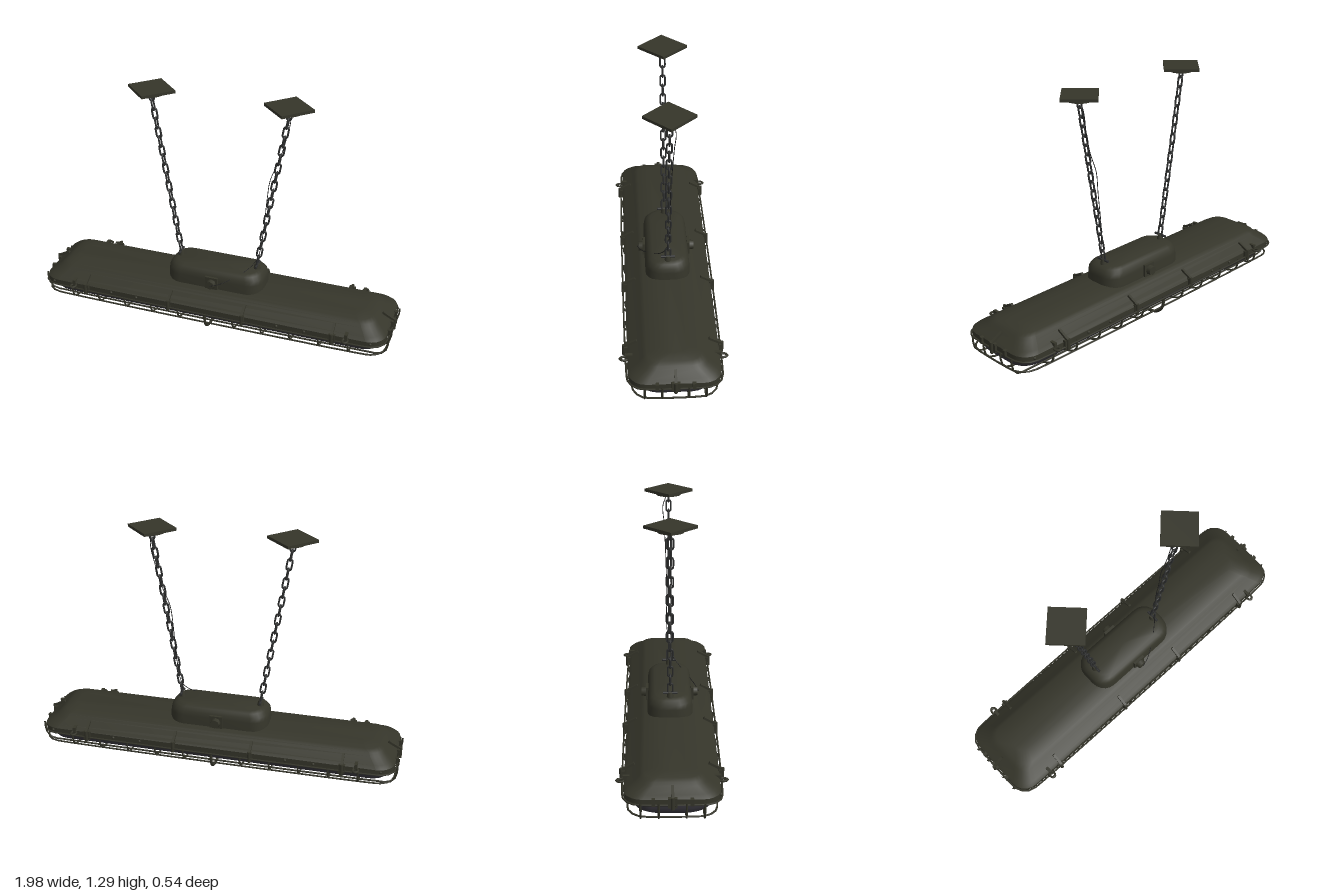
import * as THREE from 'three';
import { toCreasedNormals } from 'three/addons/utils/BufferGeometryUtils.js';

const V = (x, y, z) => new THREE.Vector3(x, y, z);

function material(name, color) {
  const m = new THREE.MeshStandardMaterial({ color });
  m.name = name;
  return m;
}

// Outline of a rounded rectangle as [x, z] points
function outline(hx, hz, r, seg = 5) {
  const pts = [];
  [[1, 1], [-1, 1], [-1, -1], [1, -1]].forEach(([sx, sz], q) => {
    for (let i = 0; i <= seg; i++) {
      const a = (q + i / seg) * Math.PI / 2;
      pts.push([sx * (hx - r) + r * Math.cos(a), sz * (hz - r) + r * Math.sin(a)]);
    }
  });
  return pts;
}

// Shell through stacked rounded rectangles [halfX, halfZ, radius, y], bottom to top, capped
function loft(rings, crease = 0.5) {
  const pos = [], idx = [];
  const n = outline(1, 1, 0.1).length;
  rings.forEach(([hx, hz, r, y]) => outline(hx, hz, r).forEach(([x, z]) => pos.push(x, y, z)));
  for (let i = 0; i < rings.length - 1; i++) {
    for (let j = 0; j < n; j++) {
      const a = i * n + j, b = i * n + (j + 1) % n;
      idx.push(a, a + n, b, b, a + n, b + n);
    }
  }
  const last = rings.length - 1, c = pos.length / 3;
  pos.push(0, rings[0][3], 0, 0, rings[last][3], 0);
  for (let j = 0; j < n; j++) {
    const k = (j + 1) % n;
    idx.push(c, j, k, c + 1, last * n + k, last * n + j);
  }
  const g = new THREE.BufferGeometry();
  g.setAttribute('position', new THREE.Float32BufferAttribute(pos, 3));
  g.setIndex(idx);
  return toCreasedNormals(g, crease);
}

function wire(points, radius, closed = false, steps = 40) {
  const curve = new THREE.CatmullRomCurve3(points, closed, 'centripetal');
  return new THREE.TubeGeometry(curve, steps, radius, 6, closed);
}

export function createModel() {
  const root = new THREE.Group();
  root.name = 'hangingLamp';
  const paint = material('olivePaint', 0x35352a);
  const steel = material('chainSteel', 0x2f3030);
  const glass = material('smokedGlass', 0x3a383f);
  const rubber = material('blackCable', 0x1c1c1c);

  const add = (name, geo, mat, x = 0, y = 0, z = 0, parent = root) => {
    const m = new THREE.Mesh(geo, mat);
    m.name = name;
    m.position.set(x, y, z);
    parent.add(m);
    return m;
  };
  const box = (name, w, h, d, x, y, z, parent) =>
    add(name, new THREE.BoxGeometry(w, h, d), paint, x, y, z, parent);

  // Housing, glass cover and junction box
  add('housing', loft([
    [0.95, 0.215, 0.085, 0.118], [0.967, 0.23, 0.09, 0.124], [0.967, 0.23, 0.09, 0.152],
    [0.95, 0.213, 0.085, 0.168], [0.912, 0.168, 0.075, 0.191], [0.9, 0.155, 0.07, 0.205],
    [0.875, 0.135, 0.065, 0.216], [0.83, 0.065, 0.05, 0.229]]), paint);
  add('glassCover', loft([
    [0.87, 0.09, 0.07, 0.036], [0.91, 0.145, 0.09, 0.046], [0.935, 0.18, 0.1, 0.066],
    [0.945, 0.2, 0.1, 0.092], [0.945, 0.205, 0.09, 0.122]], 0.9), glass);
  add('junctionBox', loft([
    [0.272, 0.12, 0.085, 0.19], [0.27, 0.117, 0.085, 0.27], [0.266, 0.112, 0.082, 0.295],
    [0.25, 0.098, 0.075, 0.315], [0.23, 0.08, 0.065, 0.324]], 0.7), paint);

  // Cable glands on both long sides of the box
  for (const s of [1, -1]) {
    box('glandPlate', 0.07, 0.07, 0.014, 0, 0.255, s * 0.122);
    const gland = add('cableGland', new THREE.CylinderGeometry(0.024, 0.028, 0.028, 8), paint, 0, 0.255, s * 0.138);
    gland.rotation.x = s * Math.PI / 2;
  }

  // Wire cage: cross hoops, long wires and perimeter rings
  const cage = new THREE.Group();
  cage.name = 'wireCage';
  root.add(cage);
  const hoop = (x, low, r) => {
    const half = [[0.235, 0.13], [0.23, 0.09], [0.208, 0.058], [0.165, 0.04], [0.09, 0.034]];
    const pts = half.map(([z, y]) => V(x, y - low * (0.13 - y) / 0.096, z));
    const mirrored = pts.slice().reverse().map(p => V(x, p.y, -p.z));
    return wire([...pts, ...mirrored], r);
  };
  for (let i = -5; i <= 5; i++) {
    if (i) add('cageHoop', hoop(i * 0.157, 0, 0.005), paint, 0, 0, 0, cage);
  }
  add('centreHoop', hoop(0, 0.026, 0.008), paint, 0, 0, 0, cage);
  for (const z of [-0.15, -0.065, 0.065, 0.15]) {
    const y = Math.abs(z) > 0.1 ? 0.037 : 0.032;
    const half = [[0.982, 0.14], [0.98, 0.1], [0.968, 0.062], [0.94, 0.04], [0.88, y]];
    const pts = half.map(([x, h]) => V(x, h, z));
    add('cageLongWire', wire([...pts, ...pts.slice().reverse().map(p => V(-p.x, p.y, z))], 0.005, false, 60),
      paint, 0, 0, 0, cage);
  }
  for (const [hx, hz, r, y] of [[0.972, 0.236, 0.09, 0.127], [0.967, 0.212, 0.09, 0.062]]) {
    const pts = outline(hx, hz, r).map(([x, z]) => V(x, y, z));
    add('cageRing', wire(pts, 0.005, true, 120), paint, 0, 0, 0, cage);
  }

  // Clamp: bracket, latch and bolt, facing +z
  const clamp = (x, z, turn, wide) => {
    const g = new THREE.Group();
    g.name = 'clamp';
    g.position.set(x, 0, z);
    g.rotation.y = turn;
    root.add(g);
    box('clampBracket', wide, 0.05, 0.016, 0, 0.138, 0.006, g);
    add('clampBolt', new THREE.CylinderGeometry(0.009, 0.009, 0.062, 8), paint, 0, 0.138, 0.016, g);
    const latch = box('clampLatch', 0.014, 0.012, 0.07, 0, 0.18, -0.018, g);
    latch.rotation.x = 0.5;
  };
  for (const s of [1, -1]) {
    const turn = s > 0 ? 0 : Math.PI;
    for (const m of [1, -1]) {
      clamp(m * 0.7, s * 0.23, turn, 0.035);
      clamp(m * 0.21, s * 0.226, turn, 0.022);
      // Hinge eyes beside the outer clamps
      const eye = add('hingeEye', new THREE.TorusGeometry(0.014, 0.006, 6, 14), paint, m * 0.773, 0.145, s * 0.247);
      eye.rotation.x = Math.PI / 2;
      eye.scale.y = 1.3;
      box('hingeArm', 0.016, 0.03, 0.035, m * 0.773, 0.158, s * 0.22);
      for (const x of [0.4, 0.55, 0.9])
        add('rimBolt', new THREE.SphereGeometry(0.008, 8, 6), paint, m * x, 0.14, s * (x > 0.8 ? 0.227 : 0.232));
    }
    clamp(s * 0.965, 0, s * Math.PI / 2, 0.045);
    for (const z of [-0.09, 0.09]) {
      box('endLug', 0.02, 0.036, 0.018, s * 0.97, 0.14, z);
    }
  }

  // Chains, lugs and ceiling plates
  const linkPath = [];
  for (let i = 0; i < 20; i++) {
    const a = i / 20 * Math.PI * 2, c = Math.cos(a), d = Math.sin(a);
    linkPath.push(V(0.013 * c, 0.013 * d + (d > 0.01 ? 0.018 : d < -0.01 ? -0.018 : 0), 0));
  }
  const link = wire(linkPath, 0.0052, true, 28);
  for (const s of [1, -1]) {
    const side = new THREE.Group();
    side.name = s > 0 ? 'leftSuspension' : 'rightSuspension';
    root.add(side);
    const low = V(s * 0.222, 0.375, 0), high = V(s * 0.37, 1.25, 0);
    const lean = -Math.atan2(high.x - low.x, high.y - low.y);
    for (let i = 0; i <= 17; i++) {
      const p = low.clone().lerp(high, i / 17);
      const m = add('chainLink', link, steel, p.x, p.y, p.z, side);
      m.rotation.set(0, i % 2 ? 0 : Math.PI / 2, lean, 'ZYX');
    }
    add('chainLug', new THREE.CylinderGeometry(0.013, 0.02, 0.035, 10), paint, s * 0.218, 0.333, 0, side);
    const pin = add('lugPin', new THREE.CylinderGeometry(0.007, 0.007, 0.075, 8), steel, s * 0.22, 0.347, 0, side);
    pin.rotation.x = Math.PI / 2;
    const plate = box('ceilingPlate', 0.185, 0.015, 0.185, s * 0.366, 1.2845, 0, side);
    plate.rotation.y = Math.PI / 4;
    add('ceilingBoss', new THREE.CylinderGeometry(0.068, 0.068, 0.016, 24), paint, s * 0.366, 1.27, 0, side);
  }

  // Power cable from the gland up along one chain
  add('powerCable', wire([
    V(0, 0.255, 0.158), V(0.05, 0.268, 0.142), V(0.12, 0.3, 0.1), V(0.19, 0.345, 0.045), V(0.225, 0.4, 0.01),
    V(0.245, 0.55, -0.012), V(0.262, 0.75, -0.01), V(0.275, 0.86, -0.014), V(0.32, 0.98, -0.018),
    V(0.35, 1.1, -0.024), V(0.368, 1.2, -0.03), V(0.368, 1.265, -0.005)], 0.002, false, 80), rubber);

  return root;
}
